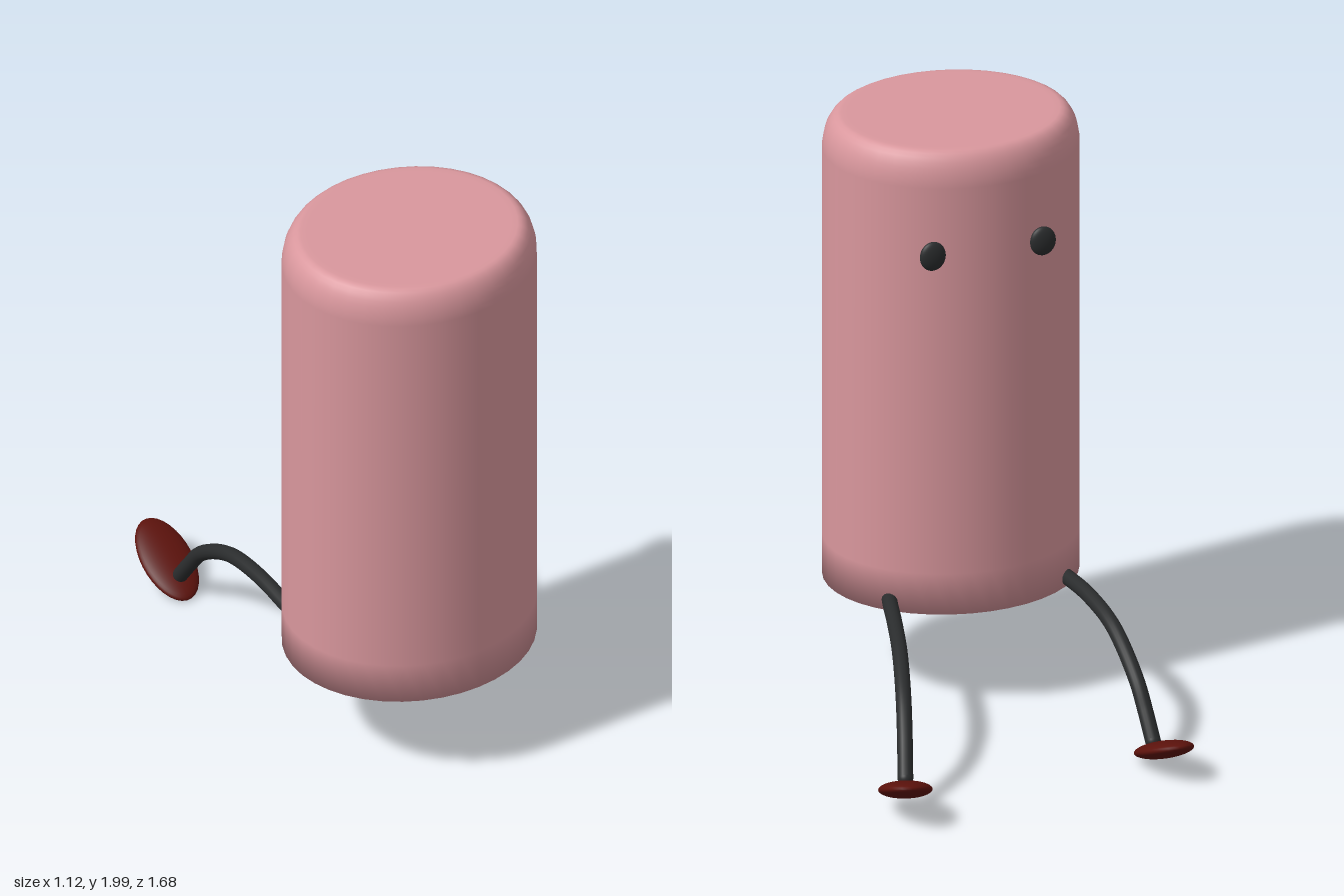
import * as THREE from 'three';

const paint = (color) => new THREE.MeshStandardMaterial({ color });

export function createModel() {
  const model = new THREE.Group();
  const pink = paint(0xd9979d), black = paint(0x2a2c2d), red = paint(0x5c120c);

  const add = (name, geometry, material, position = [0, 0, 0], scale = [1, 1, 1], parent = model) => {
    const mesh = new THREE.Mesh(geometry, material);
    mesh.name = name;
    mesh.position.set(...position);
    mesh.scale.set(...scale);
    parent.add(mesh);
    return mesh;
  };

  // Body: oval drum with a rounded top rim and a flat base
  const profile = [[0, 0.355], [1, 0.355], [1, 0.5], [1, 1.88]];
  for (let i = 1; i <= 8; i++) {
    const a = (i / 8) * Math.PI / 2;
    profile.push([0.85 + 0.15 * Math.cos(a), 1.88 + 0.12 * Math.sin(a)]);
  }
  profile.push([0.8, 2], [0, 2]);
  const body = new THREE.LatheGeometry(profile.map((p) => new THREE.Vector2(...p)), 40);
  add('body', body, pink, [-0.11, 0, 0.455], [0.43, 1, 0.385]);

  // Eyes: flattened ovals set into the back wall
  const ball = new THREE.SphereGeometry(1, 32, 20);
  for (const [side, s] of [['left', 1], ['right', -1]]) {
    add(side + 'Eye', ball, black, [-0.11 + s * 0.193, 1.645, 0.095], [0.045, 0.051, 0.02]);
  }

  // Legs: bent round tubes ending on tilted oval feet
  const legs = [
    {
      side: 'left', foot: [0.463, 0.103, -0.69], yaw: -0.3,
      path: [[0.17, 0.39, 0.28], [0.2, 0.39, 0.19], [0.25, 0.388, 0], [0.305, 0.372, -0.2],
        [0.365, 0.305, -0.4], [0.4, 0.22, -0.51], [0.432, 0.105, -0.605]],
    },
    {
      side: 'right', foot: [-0.473, 0.079, -0.61], yaw: 0,
      path: [[-0.41, 0.375, 0.33], [-0.423, 0.385, 0.19], [-0.434, 0.39, 0], [-0.446, 0.355, -0.2],
        [-0.457, 0.24, -0.39], [-0.463, 0.155, -0.46], [-0.467, 0.075, -0.52]],
    },
  ];
  const r = 0.026;
  for (const { side, foot, yaw, path } of legs) {
    const leg = new THREE.Group();
    leg.name = side + 'Leg';
    model.add(leg);
    const curve = new THREE.CatmullRomCurve3(path.map((p) => new THREE.Vector3(...p)));
    add(side + 'LegTube', new THREE.TubeGeometry(curve, 48, r, 16), black, undefined, undefined, leg);
    for (const end of [path[0], path[path.length - 1]]) {
      add(side + 'LegEnd', ball, black, end, [r, r, r], leg);
    }
    const shoe = add(side + 'Foot', ball, red, foot, [0.09, 0.03, 0.167], leg);
    shoe.rotation.set(0.41, yaw, 0, 'YXZ');
  }
  return model;
}
